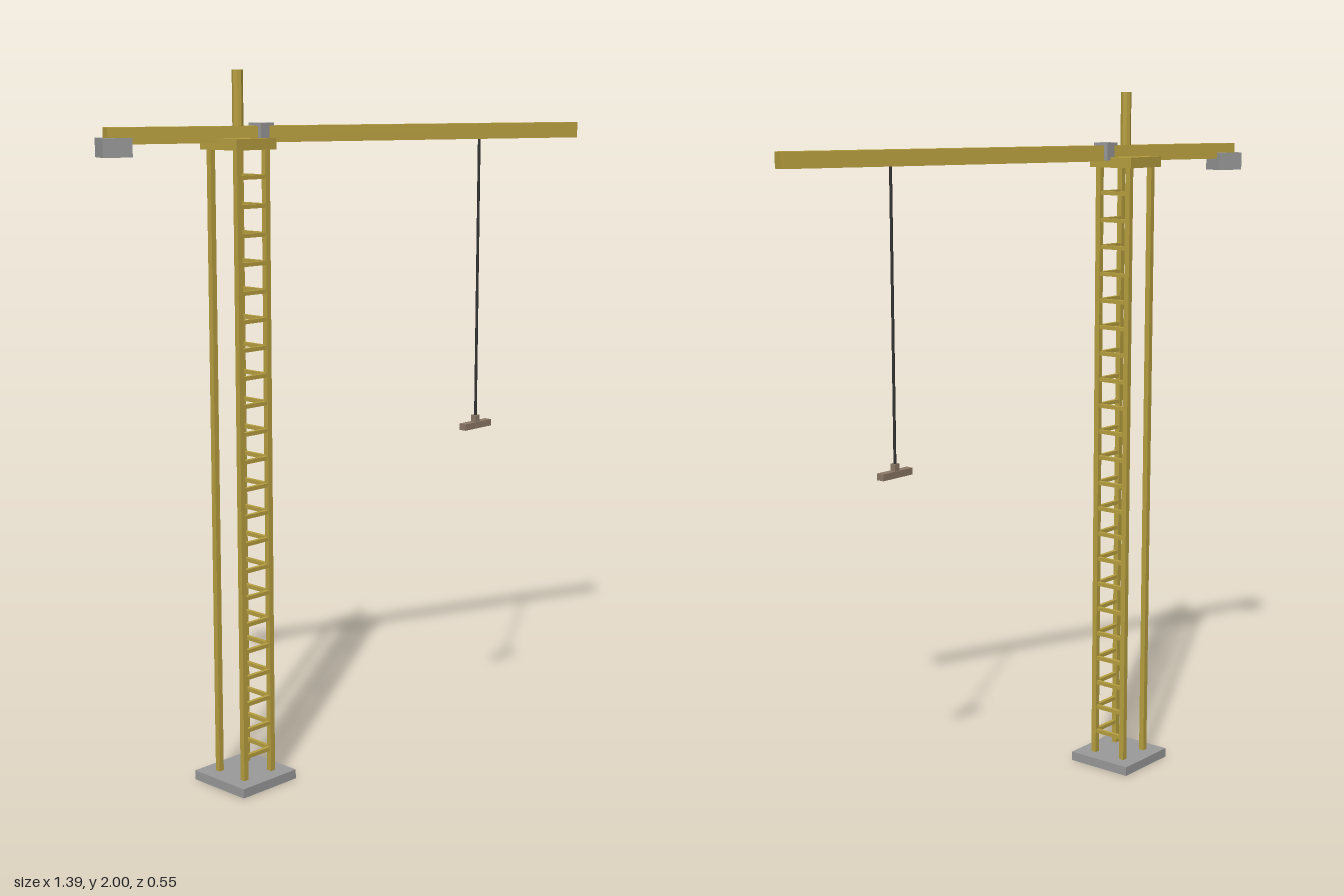
import * as THREE from 'three';

const material = (name, color) => {
  const m = new THREE.MeshStandardMaterial({ color });
  m.name = name;
  return m;
};

export function createModel() {
  const gold = material('gold paint', 0xb8a040);
  const grey = material('concrete grey', 0x9a9a9a);
  const dark = material('cable dark', 0x333333);
  const brown = material('load brown', 0x8c7a68);

  const crane = new THREE.Group();
  crane.name = 'towerCrane';

  const add = (parent, name, geometry, mat, x, y, z) => {
    const mesh = new THREE.Mesh(geometry, mat);
    mesh.name = name;
    mesh.position.set(x, y, z);
    parent.add(mesh);
    return mesh;
  };
  const box = (parent, name, mat, w, h, d, x, y, z) =>
    add(parent, name, new THREE.BoxGeometry(w, h, d), mat, x, y, z);

  // Tower, with its origin on the tower axis
  const tower = new THREE.Group();
  tower.name = 'tower';
  tower.position.set(-0.319, 0, -0.111);
  crane.add(tower);

  box(tower, 'base', grey, 0.204, 0.027, 0.204, 0, 0.0135, 0);
  box(tower, 'topPlatform', gold, 0.145, 0.03, 0.145, 0, 1.805, 0);

  const half = 0.052;
  for (const sx of [-1, 1]) {
    for (const sz of [-1, 1]) {
      box(tower, 'leg', gold, 0.016, 1.77, 0.016, sx * half, 0.91, sz * half);
    }
  }

  // Ladder rungs on the front and +x faces only
  for (let i = 0; i < 22; i++) {
    const y = 0.094 + i * 0.0773;
    box(tower, 'frontRung', gold, half * 2, 0.011, 0.011, 0, y, half);
    box(tower, 'sideRung', gold, 0.011, 0.011, half * 2, half, y, 0);
  }

  const mast = new THREE.CylinderGeometry(0.015, 0.015, 0.19, 8).toNonIndexed();
  mast.computeVertexNormals();
  add(tower, 'mast', mast, gold, 0, 1.905, 0);
  box(tower, 'cab', grey, 0.048, 0.05, 0.048, 0.064, 1.835, 0.023);

  // Slewed boom
  const boom = new THREE.Group();
  boom.name = 'boom';
  boom.rotation.y = -THREE.MathUtils.degToRad(20);
  tower.add(boom);
  box(boom, 'jib', gold, 1.442, 0.044, 0.039, 0.348, 1.83, 0);
  box(boom, 'counterweight', grey, 0.081, 0.05, 0.064, -0.35, 1.8, 0);

  // Cable and suspended load
  const hoist = new THREE.Group();
  hoist.name = 'hoist';
  hoist.position.set(0.384, 0, 0.145);
  crane.add(hoist);
  add(hoist, 'cable', new THREE.CylinderGeometry(0.004, 0.004, 0.83, 8), dark, 0, 1.405, 0);
  box(hoist, 'hookBlock', brown, 0.018, 0.022, 0.018, 0, 0.992, 0);
  box(hoist, 'load', brown, 0.117, 0.019, 0.023, 0, 0.974, 0);

  return crane;
}
